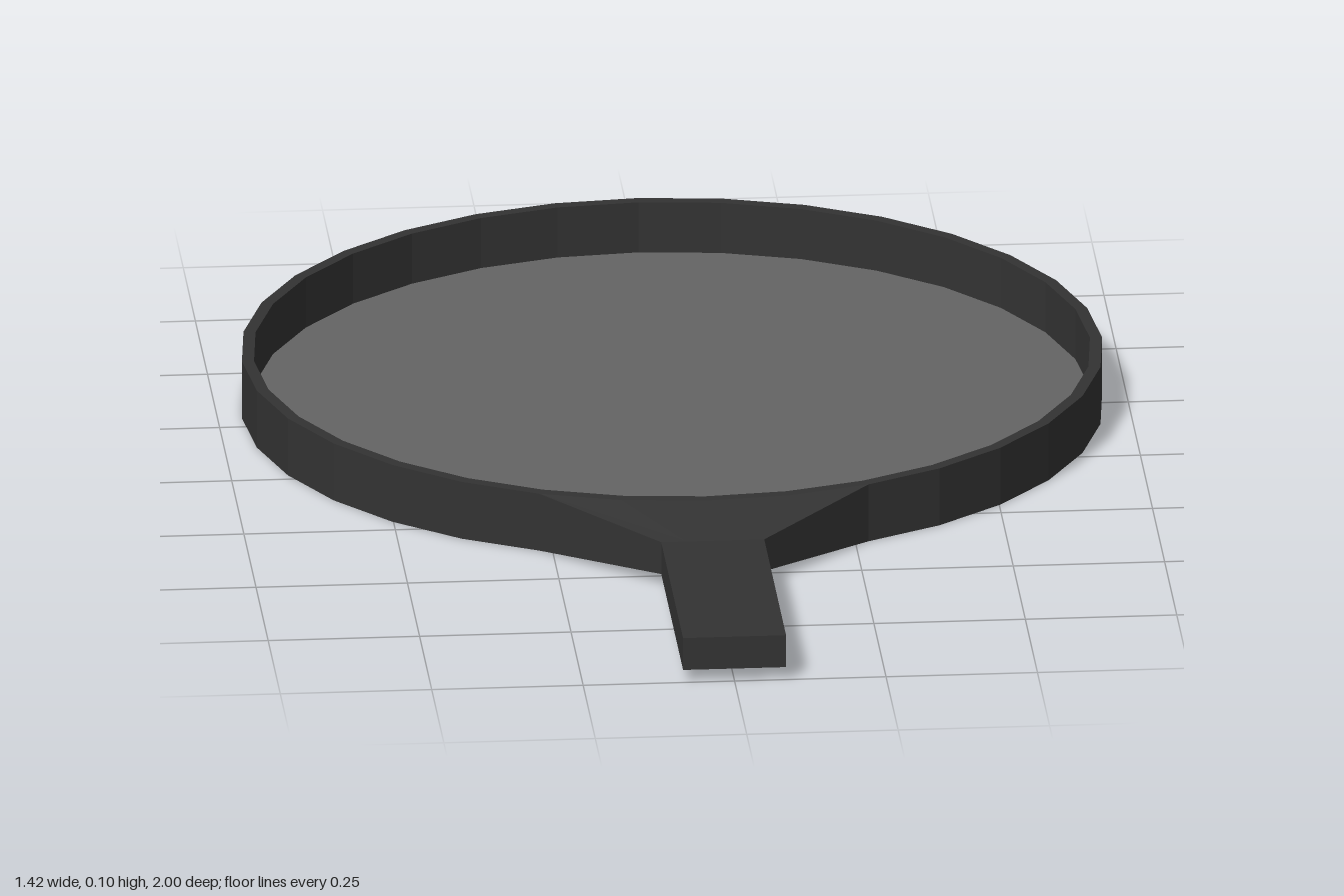
import * as THREE from 'three';

const SEG = 32, R_OUT = 0.71, R_IN = 0.69, H = 0.1, CZ = -0.29;
const HANDLE_W = 0.085, HANDLE_Y0 = 0.022, HANDLE_Y1 = 0.078, HANDLE_Z = 0.55;

const dark = new THREE.MeshStandardMaterial({ color: 0x333333, flatShading: true });
const pane = new THREE.MeshStandardMaterial({ color: 0x646464, flatShading: true });

function add(group, name, geometry, material, x = 0, y = 0, z = 0) {
  const mesh = new THREE.Mesh(geometry, material);
  mesh.name = name;
  mesh.position.set(x, y, z);
  group.add(mesh);
  return mesh;
}

// Flared neck: an arc of the rim blends into the flat handle section
function neckGeometry() {
  const steps = 4, rows = [];
  for (let i = 0; i <= steps; i++) {
    const a = (i - steps / 2) * (Math.PI * 2 / SEG);
    const x = R_OUT * Math.sin(a), z = CZ + R_OUT * Math.cos(a);
    const hx = HANDLE_W * (i / steps * 2 - 1);
    rows.push({
      rimTop: [x, H, z], rimBottom: [x, 0, z],
      endTop: [hx, HANDLE_Y1, HANDLE_Z], endBottom: [hx, HANDLE_Y0, HANDLE_Z],
    });
  }
  const pos = [];
  const quad = (a, b, c, d) => pos.push(...a, ...b, ...c, ...a, ...c, ...d);
  for (let i = 0; i < steps; i++) {
    const l = rows[i], r = rows[i + 1];
    quad(l.rimTop, l.endTop, r.endTop, r.rimTop);
    quad(l.rimBottom, r.rimBottom, r.endBottom, l.endBottom);
    quad(l.endTop, l.endBottom, r.endBottom, r.endTop);
  }
  const l = rows[0], r = rows[steps];
  quad(l.rimTop, l.rimBottom, l.endBottom, l.endTop);
  quad(r.rimTop, r.endTop, r.endBottom, r.rimBottom);
  const g = new THREE.BufferGeometry();
  g.setAttribute('position', new THREE.Float32BufferAttribute(pos, 3));
  g.computeVertexNormals();
  return g;
}

export function createModel() {
  const model = new THREE.Group();
  model.name = 'roundPaddle';

  // Thin faceted rim
  const profile = [[R_IN, 0], [R_OUT, 0], [R_OUT, H], [R_IN, H], [R_IN, 0]]
    .map(([x, y]) => new THREE.Vector2(x, y));
  add(model, 'rim', new THREE.LatheGeometry(profile, SEG), dark, 0, 0, CZ);

  // Pale pane inside the rim and the dark base beneath it
  const disc = new THREE.CircleGeometry(R_IN, SEG);
  add(model, 'pane', disc.clone().rotateX(-Math.PI / 2), pane, 0, 0.012, CZ);
  add(model, 'base', disc.clone().rotateX(Math.PI / 2), dark, 0, 0.003, CZ);

  // Neck and handle
  add(model, 'neck', neckGeometry(), dark);
  const length = 1 - HANDLE_Z;
  add(model, 'handle', new THREE.BoxGeometry(HANDLE_W * 2, HANDLE_Y1 - HANDLE_Y0, length), dark,
    0, (HANDLE_Y0 + HANDLE_Y1) / 2, HANDLE_Z + length / 2);

  // Small tab reaching from the neck into the pane
  const tab = new THREE.Shape([[-0.1, -0.4], [0.07, -0.4], [0.053, -0.32], [-0.095, -0.32]]
    .map(([x, y]) => new THREE.Vector2(x, y)));
  const tabGeometry = new THREE.ExtrudeGeometry(tab, { depth: 0.015, bevelEnabled: false });
  add(model, 'tab', tabGeometry.rotateX(-Math.PI / 2), dark, 0, 0.001, 0);

  return model;
}
